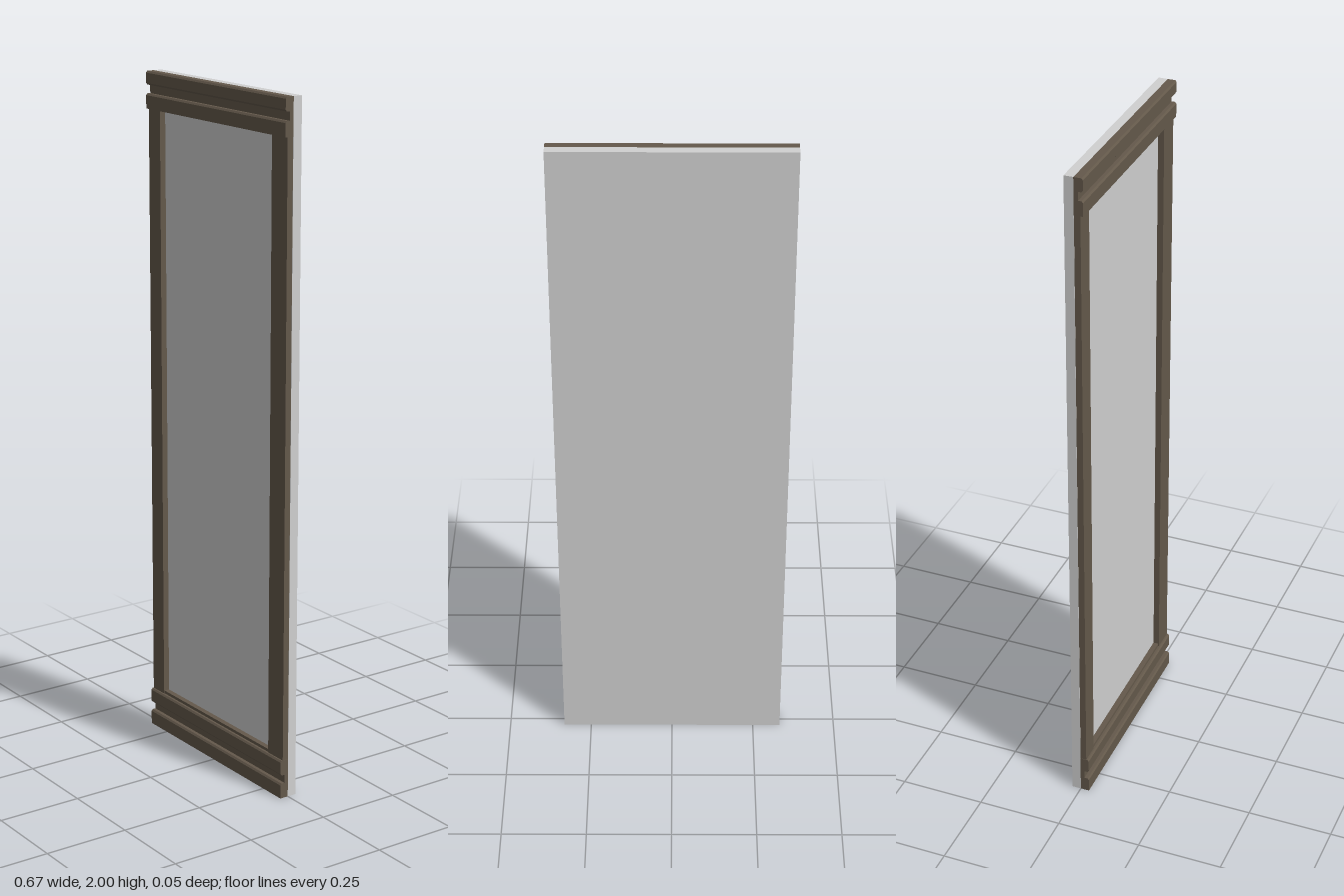
import * as THREE from 'three';

const HALF = 0.333;

export function createModel() {
  const group = new THREE.Group();
  group.name = 'framedPanel';
  const wood = new THREE.MeshStandardMaterial({ name: 'brown wood', color: 0x64594b });
  const board = new THREE.MeshStandardMaterial({ name: 'light grey board', color: 0xd0d0d0 });

  const box = (name, mat, x0, x1, y0, y1, z0, z1) => {
    const mesh = new THREE.Mesh(new THREE.BoxGeometry(x1 - x0, y1 - y0, z1 - z0), mat);
    mesh.position.set((x0 + x1) / 2, (y0 + y1) / 2, (z0 + z1) / 2);
    mesh.name = name;
    group.add(mesh);
  };

  // Backing board
  box('backBoard', board, -HALF, HALF, 0, 2, -0.027, 0);

  // Upright stiles, the left one slightly wider
  box('rightStile', wood, -HALF + 0.001, -0.275, 0.1, 1.9, 0, 0.018);
  box('leftStile', wood, 0.262, HALF - 0.001, 0.1, 1.9, 0, 0.018);

  // Grooved rail: [z, y] section with chamfered lips, swept across the width
  const rail = (name, y0, height, grooveLow, grooveHigh) => {
    const section = [
      [0, 0], [0.026, 0], [0.026, grooveLow - 0.005], [0.022, grooveLow], [0.012, grooveLow],
      [0.012, grooveHigh], [0.022, grooveHigh], [0.026, grooveHigh + 0.005],
      [0.026, height - 0.005], [0.022, height], [0, height],
    ];
    const shape = new THREE.Shape(section.map(([z, y]) => new THREE.Vector2(-z, y)));
    const geometry = new THREE.ExtrudeGeometry(shape, { depth: HALF * 2, bevelEnabled: false });
    geometry.rotateY(Math.PI / 2);
    geometry.translate(-HALF, y0, 0);
    const mesh = new THREE.Mesh(geometry, wood);
    mesh.name = name;
    group.add(mesh);
  };
  rail('bottomRail', 0, 0.115, 0.045, 0.07);
  rail('topRail', 1.893, 0.107, 0.043, 0.068);

  // Inner sill above the bottom rail
  box('innerSill', wood, -0.275, 0.262, 0.1, 0.124, 0, 0.016);

  return group;
}
